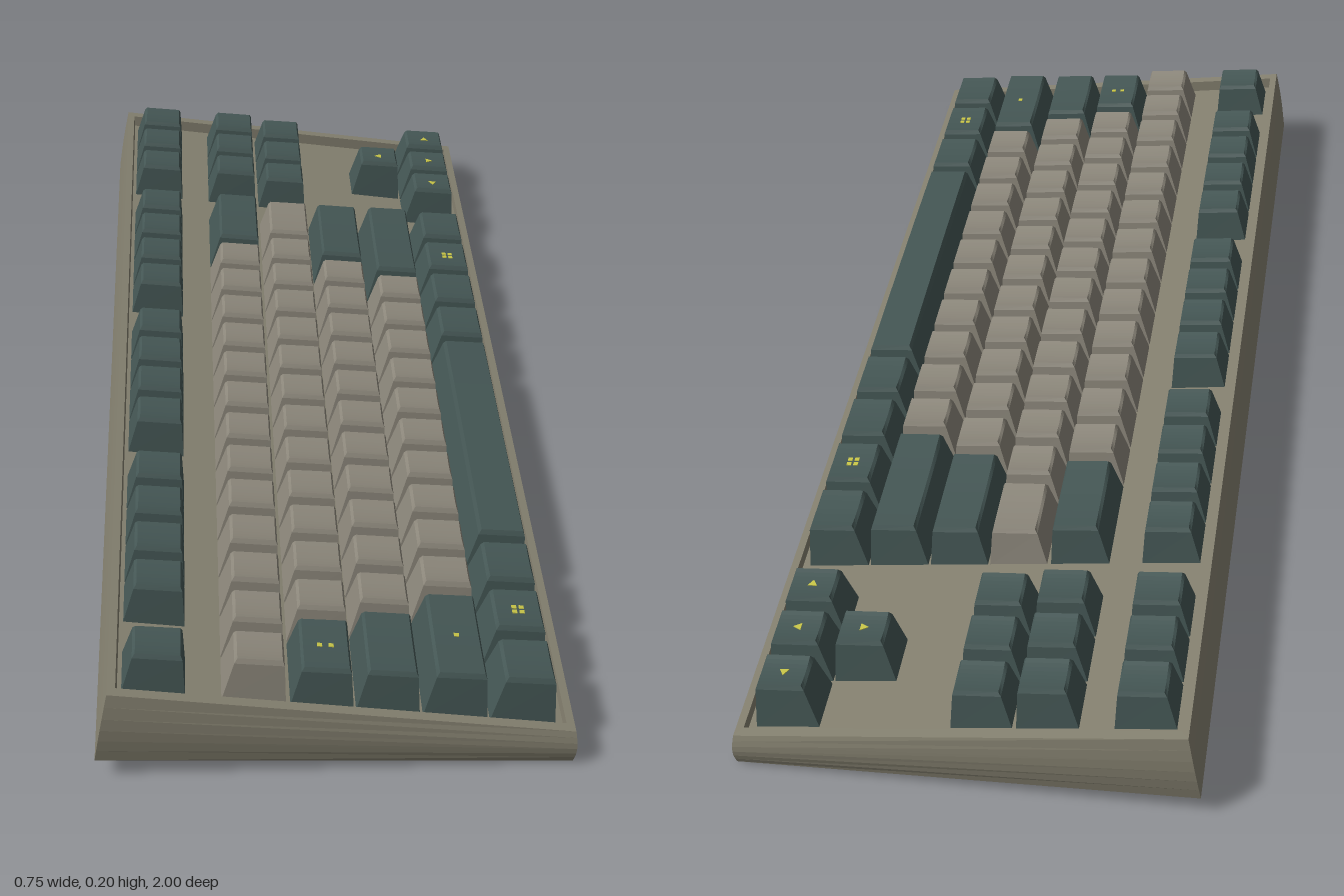
import * as THREE from 'three';

const lerp = THREE.MathUtils.lerp;
const mat = (name, color) => {
  const m = new THREE.MeshStandardMaterial({ color, flatShading: true });
  m.name = name;
  return m;
};

// Sloped reference lines of the wedge-shaped case
const bottomY = x => 0.019 - 0.043 * x;
const rimY = x => 0.115 - 0.1427 * x;
const plateY = x => rimY(x) - 0.022;

// Key rows: x of base back and front, then top back point and top front point
const ROWS = [
  { base: [-0.33, -0.232], top: [-0.309, 0.203, -0.234, 0.195] },
  { base: [-0.177, -0.077], top: [-0.153, 0.187, -0.078, 0.179] },
  { base: [-0.071, 0.028], top: [-0.05, 0.166, 0.025, 0.159] },
  { base: [0.031, 0.131], top: [0.052, 0.156, 0.128, 0.148] },
  { base: [0.135, 0.237], top: [0.159, 0.147, 0.235, 0.14] },
  { base: [0.24, 0.344], top: [0.267, 0.133, 0.343, 0.126] },
];
const UNIT = 0.1023;
const zAt = u => 0.96 - u * UNIT;

// Stack of rectangular rings, closed at both ends
function loft(rings) {
  const pos = rings.flat(2), index = [];
  for (let k = 0; k < rings.length - 1; k++) {
    for (let i = 0; i < 4; i++) {
      const j = (i + 1) % 4, a = k * 4 + i, b = k * 4 + j;
      index.push(a, b, b + 4, a, b + 4, a + 4);
    }
  }
  const n = (rings.length - 1) * 4;
  index.push(2, 1, 0, 3, 2, 0, n, n + 1, n + 2, n, n + 2, n + 3);
  const g = new THREE.BufferGeometry();
  g.setAttribute('position', new THREE.Float32BufferAttribute(pos, 3));
  g.setIndex(index);
  const flat = g.toNonIndexed();
  flat.computeVertexNormals();
  return flat;
}

function ring(x0, x1, z, yOf) {
  return [[x0, z], [x1, z], [x1, -z], [x0, -z]].map(([x, zz]) => [x, yOf(x), zz]);
}

// Case: slightly bulging walls, a rim and a sunken plate
function caseGeometry() {
  const rings = [];
  for (let i = 0; i <= 6; i++) {
    const t = i / 6, bulge = Math.sin(Math.PI * t);
    rings.push(ring(lerp(-0.374, -0.35, t) - 0.001 * bulge, lerp(0.369, 0.371, t) + 0.003 * bulge,
      0.993 + 0.007 * bulge, x => lerp(bottomY(x), rimY(x), t)));
  }
  rings.push(ring(-0.337, 0.358, 0.975, rimY));
  rings.push(ring(-0.336, 0.357, 0.974, plateY));
  return loft(rings);
}

// Keycap: tapered box with a bevelled, dished top
function keyGeometry(row, width, dip) {
  const { base, top } = ROWS[row];
  const g = new THREE.BoxGeometry(1, 1, 1, 1, 2, 8);
  const p = g.attributes.position;
  for (let i = 0; i < p.count; i++) {
    const level = p.getY(i), isTop = level > 0.4;
    const t = level < -0.4 ? 0 : isTop ? 1 : 0.9;
    const s = 0.5 + p.getX(i) * (isTop ? 0.93 : 1);
    const zn = p.getZ(i) * 2;
    const bx = lerp(base[0], base[1], s);
    const y = lerp(plateY(bx) - 0.002, lerp(top[1], top[3], s), t);
    const half = width * UNIT / 2 - 0.003 - 0.012 * t - (isTop ? 0.003 : 0);
    p.setXYZ(i, lerp(bx, lerp(top[0], top[2], s), t), y - (isTop ? dip * (1 - zn * zn) : 0), zn * half);
  }
  const flat = g.toNonIndexed();
  flat.computeVertexNormals();
  return flat;
}

export function createModel() {
  const model = new THREE.Group();
  model.name = 'keyboard';
  const shell = mat('warm grey shell', 0x858170);
  const pale = mat('pale grey keycap', 0x8b867a);
  const dark = mat('dark teal keycap', 0x445654);
  const yellow = mat('yellow mark', 0xc9c648);

  const add = (parent, name, geometry, material, x = 0, y = 0, z = 0) => {
    const mesh = new THREE.Mesh(geometry, material);
    mesh.name = name;
    mesh.position.set(x, y, z);
    parent.add(mesh);
    return mesh;
  };

  add(model, 'case', caseGeometry(), shell);

  // Flip-out feet under the back edge
  const footShape = new THREE.Shape([[-0.277, 0.045], [-0.277, 0], [-0.215, 0], [-0.19, 0.04]]
    .map(([x, y]) => new THREE.Vector2(x, y)));
  const footGeometry = new THREE.ExtrudeGeometry(footShape, { depth: 0.09, bevelEnabled: false });
  for (const z of [0.775, -0.775]) add(model, 'foot', footGeometry, shell, 0, 0, z - 0.045);

  // Keys, placed by row from the left end
  const keys = new THREE.Group();
  keys.name = 'keys';
  model.add(keys);
  const cache = {};
  function placeKeys(row, start, widths, material) {
    let u = start;
    for (const w of widths) {
      const id = row + ':' + w;
      cache[id] ??= keyGeometry(row, w, w > 4 ? -0.002 : 0.004);
      add(keys, w > 4 ? 'spaceBar' : 'key', cache[id], material, 0, 0, zAt(u + w / 2));
      u += w;
    }
  }
  const run = (n, w = 1) => Array(n).fill(w);
  const NAV = 15.72;
  for (const start of [0, 1.667, 6.333, 11]) placeKeys(0, start, run(start ? 4 : 1), dark);
  placeKeys(1, 0, run(13), pale);
  placeKeys(1, 13, [2], dark);
  placeKeys(2, 0, [1.5], dark);
  placeKeys(2, 1.5, [...run(12), 1.5], pale);
  placeKeys(3, 0, [1.75], dark);
  placeKeys(3, 1.75, run(11), pale);
  placeKeys(3, 12.75, [2.25], dark);
  placeKeys(4, 0, [2.25], dark);
  placeKeys(4, 2.25, run(10), pale);
  placeKeys(4, 12.25, [2.75], dark);
  placeKeys(5, 0, [...run(3, 1.25), 6.25, ...run(4, 1.25)], dark);
  for (const row of [0, 1, 2, 5]) placeKeys(row, NAV, run(3), dark);
  placeKeys(4, NAV + 1, [1], dark);

  // Small yellow marks on the dished key tops
  const marks = new THREE.Group();
  marks.name = 'keyMarks';
  model.add(marks);
  const arrow = new THREE.CylinderGeometry(0.009, 0.009, 0.002, 3);
  const square = new THREE.BoxGeometry(0.008, 0.002, 0.008);
  function mark(row, u, geometry, turn = 0, dx = 0, dz = 0) {
    const [x0, y0, x1, y1] = ROWS[row].top;
    const x = (x0 + x1) / 2 + dx;
    const slope = (y1 - y0) / (x1 - x0);
    const m = add(marks, 'keyMark', geometry, yellow, x, (y0 + y1) / 2 + slope * dx - 0.0035, zAt(u) + dz);
    m.rotation.set(0, turn, Math.atan(slope), 'ZYX');
  }
  mark(5, NAV + 0.5, arrow, 0);
  mark(5, NAV + 1.5, arrow, Math.PI / 2);
  mark(5, NAV + 2.5, arrow, Math.PI);
  mark(4, NAV + 1.5, arrow, -Math.PI / 2);
  for (const u of [1.875, 13.125]) {
    for (const dx of [-0.006, 0.006]) for (const dz of [-0.006, 0.006]) mark(5, u, square, 0, dx, dz);
  }
  for (const dx of [-0.009, 0.009]) mark(2, 0.75, square, 0, dx);
  mark(4, 1.125, square);

  return model;
}
